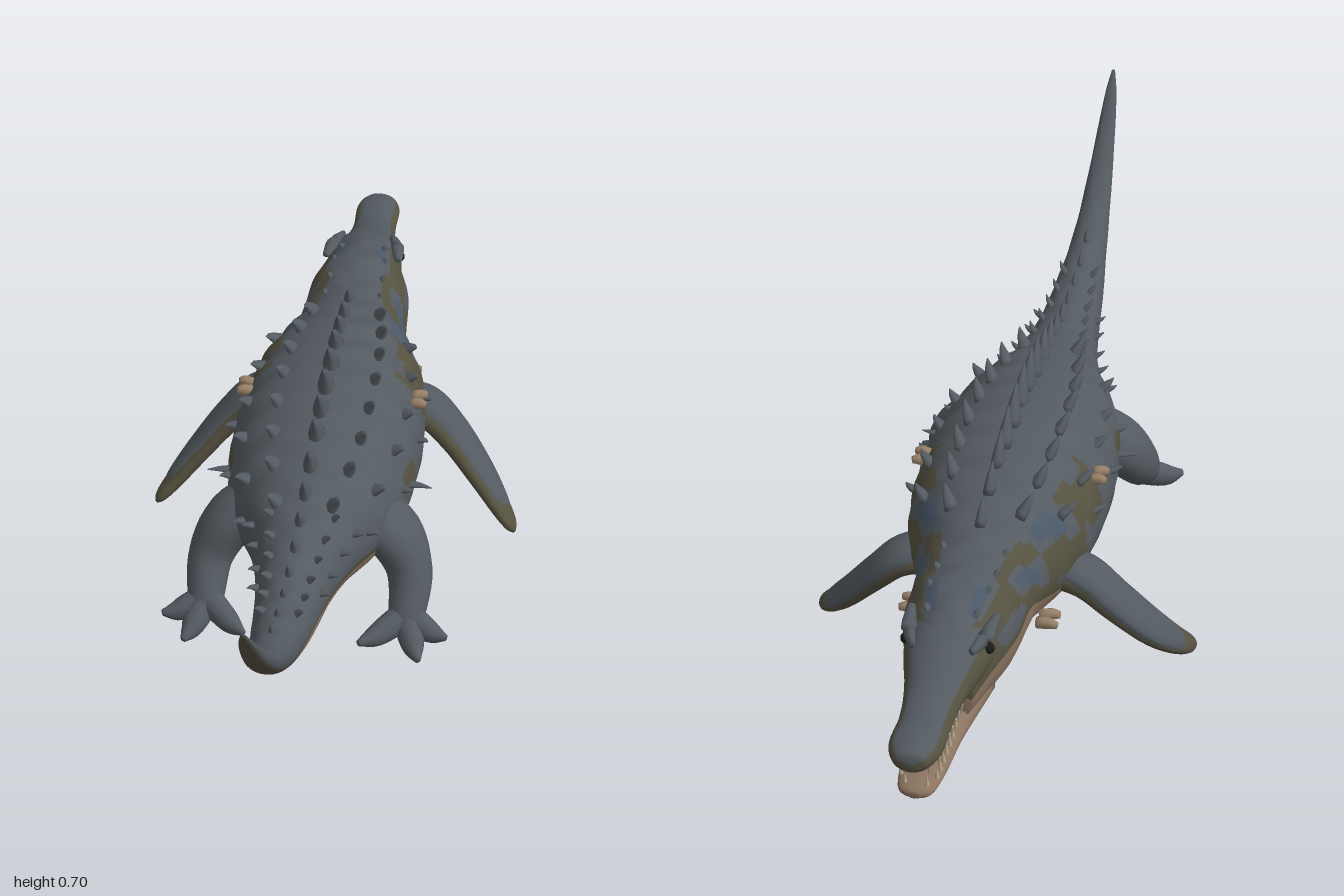
import * as THREE from 'three';

const mat = (name, color) => Object.assign(new THREE.MeshStandardMaterial({ color }), { name });
const slate = mat('slate hide', 0x535a60), olive = mat('olive hide', 0x555140), tan = mat('tan belly', 0x8a7360);
const blue = mat('blue patches', 0x4a5766), horn = mat('pale horn', 0x9a8168), tooth = mat('tooth ivory', 0xb5a68c);
const dark = mat('dark eye', 0x1c1a18);
const V = (x, y, z) => new THREE.Vector3(x, y, z);

// Skin a list of closed rings; pick(i, j) chooses the material slot of each quad
function skin(name, rings, materials, pick = () => 0) {
  const n = rings[0].length, pos = [], index = [], buckets = materials.map(() => []);
  const middle = r => r.reduce((s, p) => s.add(p), V(0, 0, 0)).divideScalar(n);
  rings.forEach(r => r.forEach(p => pos.push(p.x, p.y, p.z)));
  for (let i = 0; i < rings.length - 1; i++) for (let j = 0; j < n; j++) {
    const k = (j + 1) % n, a = i * n + j, b = i * n + k, c = a + n, d = b + n;
    buckets[pick(i, j)].push(a, b, c, b, d, c);
  }
  [rings[0], rings[rings.length - 1]].forEach((r, e) => {
    const m = middle(r), at = pos.length / 3, row = e ? (rings.length - 1) * n : 0;
    pos.push(m.x, m.y, m.z);
    for (let j = 0; j < n; j++) {
      const a = row + j, b = row + (j + 1) % n;
      buckets[pick(e ? rings.length - 2 : 0, j)].push(...(e ? [a, b, at] : [b, a, at]));
    }
  });
  const g = new THREE.BufferGeometry();
  buckets.forEach((b, m) => { g.addGroup(index.length, b.length, m); for (const v of b) index.push(v); });
  g.setAttribute('position', new THREE.Float32BufferAttribute(pos, 3));
  g.setIndex(index);
  g.computeVertexNormals();
  const mesh = new THREE.Mesh(g, materials);
  mesh.name = name;
  return mesh;
}

// Limb along a path; rows are [x, y, z, half width along z, half thickness]
function limb(name, rows, material, steps = 14, sides = 14) {
  const path = new THREE.CatmullRomCurve3(rows.map(r => V(r[0], r[1], r[2])), false, 'catmullrom');
  const size = new THREE.CatmullRomCurve3(rows.map(r => V(r[3], r[4], 0)), false, 'catmullrom');
  const rings = [];
  for (let i = 0; i <= steps; i++) {
    const c = path.getPoint(i / steps), s = size.getPoint(i / steps), t = path.getTangent(i / steps);
    const ref = Math.abs(t.z) > 0.95 ? V(0, 1, 0) : V(0, 0, 1);
    const a = ref.addScaledVector(t, -ref.dot(t)).normalize(), b = t.clone().cross(a);
    rings.push(Array.from({ length: sides }, (_, j) => {
      const q = j / sides * Math.PI * 2;
      return c.clone().addScaledVector(a, Math.max(s.x, 0.001) * Math.cos(q)).addScaledVector(b, Math.max(s.y, 0.001) * Math.sin(q));
    }));
  }
  return skin(name, rings, [material]);
}

// Trunk sections; rows are [z, half width, top, bottom, height where back meets belly]
function sections(rows, steps) {
  const a = new THREE.CatmullRomCurve3(rows.map(r => V(r[1], r[2], r[0])), false, 'catmullrom');
  const b = new THREE.CatmullRomCurve3(rows.map(r => V(r[3], r[4], r[0])), false, 'catmullrom');
  return Array.from({ length: steps + 1 }, (_, i) => {
    const p = a.getPoint(i / steps), q = b.getPoint(i / steps);
    return { z: p.z, w: Math.max(p.x, 0.002), cy: (p.y + q.x) / 2, h: Math.max((p.y - q.x) / 2, 0.002), split: q.y };
  });
}
const UP = 28, LOW = 18;
function trunk(name, secs, bump, materials, pick) {
  const rings = secs.map(s => {
    const e = Math.asin(THREE.MathUtils.clamp((s.split - s.cy) / s.h, -0.9, 0.9));
    return Array.from({ length: UP + LOW }, (_, j) => {
      const back = j < UP;
      const q = back ? e + (Math.PI - 2 * e) * j / UP : Math.PI - e + (Math.PI + 2 * e) * (j - UP) / LOW;
      const k = back ? 1 + bump * Math.sin(s.z * 62 + Math.sin(q * 7)) * Math.sin(Math.PI * j / UP) : 1;
      return V(s.w * k * Math.cos(q), s.cy + s.h * k * Math.sin(q), s.z);
    });
  });
  return skin(name, rings, materials, (i, j) => pick(secs[i].z, j));
}

const bodyRows = [
  [-0.77, 0.06, 0.345, 0.195, 0.27], [-0.7, 0.08, 0.385, 0.18, 0.28], [-0.6, 0.108, 0.405, 0.17, 0.29],
  [-0.5, 0.115, 0.4, 0.165, 0.29], [-0.43, 0.125, 0.41, 0.16, 0.26], [-0.3, 0.17, 0.44, 0.13, 0.22],
  [-0.2, 0.188, 0.452, 0.115, 0.21], [-0.05, 0.195, 0.455, 0.112, 0.22], [0.1, 0.18, 0.44, 0.125, 0.23],
  [0.2, 0.15, 0.425, 0.155, 0.25], [0.3, 0.105, 0.405, 0.19, 0.265], [0.4, 0.078, 0.395, 0.222, 0.29],
  [0.5, 0.064, 0.395, 0.25, 0.32], [0.6, 0.054, 0.41, 0.29, 0.345], [0.7, 0.042, 0.44, 0.345, 0.37],
  [0.8, 0.032, 0.495, 0.43, 0.44], [0.9, 0.022, 0.587, 0.542, 0.55], [0.97, 0.013, 0.665, 0.638, 0.645], [1, 0.004, 0.7, 0.69, 0.692]];
const skullRows = [
  [-1, 0.012, 0.298, 0.278, 0.285], [-0.99, 0.034, 0.314, 0.272, 0.28], [-0.95, 0.049, 0.322, 0.268, 0.28],
  [-0.88, 0.048, 0.32, 0.266, 0.28], [-0.8, 0.057, 0.345, 0.262, 0.275], [-0.72, 0.078, 0.378, 0.25, 0.27], [-0.62, 0.09, 0.39, 0.24, 0.27]];
const jawRows = [
  [-0.975, 0.012, 0.212, 0.198, 0.206], [-0.96, 0.032, 0.218, 0.193, 0.21], [-0.9, 0.043, 0.222, 0.191, 0.212],
  [-0.82, 0.05, 0.232, 0.19, 0.222], [-0.75, 0.064, 0.258, 0.186, 0.235], [-0.66, 0.08, 0.27, 0.18, 0.25]];

export function createModel() {
  const model = new THREE.Group();
  const hides = [slate, olive, tan, blue];

  // Body and tail, with an olive edge and blotches on the flanks
  const body = sections(bodyRows, 150);
  model.add(trunk('bodyAndTail', body, 0.022, hides, (z, j) => {
    if (j >= UP) return z > 0.73 ? 1 : 2;
    const side = Math.min(j, UP - 1 - j), patch = Math.sin(z * 31 + side * 0.9) + Math.sin(z * 17 - side * 0.7);
    if (z < -0.15 && side < 9 && patch < 0.1 && side > 0) return 1;
    if (z < -0.3 && side > 2 && side < 11 && patch > 1.1) return 3;
    return side < 1 || (z > -0.2 && z < 0.1 && side < 5 && patch < -1) ? 1 : 0;
  }));

  // Jaws
  model.add(trunk('upperJaw', sections(skullRows, 36), 0.012, hides,
    (z, j) => (j >= UP || Math.min(j, UP - 1 - j) < 8 ? 1 : 0)));
  model.add(trunk('lowerJaw', sections(jawRows, 30), 0, hides, () => 2));

  // Hooked spike standing on the body surface, leaning towards the tail
  const spike = (name, z, angle, height, width, material = slate, lean = 0.6) => {
    const s = body.reduce((m, c) => (Math.abs(c.z - z) < Math.abs(m.z - z) ? c : m));
    const q = angle * Math.PI / 180, out = V(Math.cos(q) / s.w, Math.sin(q) / s.h, 0).normalize();
    const row = (d, back, w) => {
      const p = V(s.w * Math.cos(q), s.cy + s.h * Math.sin(q), s.z + back).addScaledVector(out, d);
      return [p.x, p.y, p.z, w, w * 0.6];
    };
    model.add(limb(name, [row(-0.012, -width * 0.3, width), row(height * 0.45, height * lean * 0.25, width * 0.6),
      row(height, height * lean, width * 0.06)], material, 5, 8));
  };

  // Crest along the spine
  for (let z = -0.4; z < 0.75; z += 0.073) {
    const big = Math.exp(-Math.pow((z + 0.02) / 0.38, 2));
    spike('spineCrest', z, 90, 0.018 + 0.048 * big, 0.014 + 0.019 * big);
  }
  // Paired rows of scutes: angle, first z, last z, spacing, height, width
  const rows = [[62, -0.36, 0.28, 0.09, 0.034, 0.024], [36, -0.3, 0.3, 0.12, 0.026, 0.02], [14, -0.2, 0.25, 0.15, 0.02, 0.014],
    [55, 0.3, 0.66, 0.06, 0.022, 0.013], [25, 0.28, 0.48, 0.065, 0.02, 0.012], [60, -0.66, -0.4, 0.065, 0.008, 0.013]];
  for (const [angle, from, to, gap, h, w] of rows) {
    for (let z = from; z < to; z += gap) for (const a of [angle, 180 - angle]) spike('scute', z, a, h, w);
  }

  for (const s of [1, -1]) {
    const side = s > 0 ? 'left' : 'right';
    // Front flipper
    model.add(limb(side + 'Flipper', [[0.11 * s, 0.245, -0.29, 0.055, 0.035], [0.18 * s, 0.23, -0.295, 0.058, 0.032],
      [0.24 * s, 0.175, -0.285, 0.058, 0.028], [0.3 * s, 0.105, -0.255, 0.052, 0.023],
      [0.35 * s, 0.047, -0.215, 0.036, 0.018], [0.378 * s, 0.018, -0.185, 0.02, 0.012], [0.387 * s, 0.006, -0.177, 0.003, 0.003]], olive, 24, 18));
    // Slate upper face of the flipper
    model.add(limb(side + 'FlipperTop', [[0.12 * s, 0.256, -0.293, 0.045, 0.03], [0.186 * s, 0.237, -0.298, 0.054, 0.03],
      [0.245 * s, 0.179, -0.288, 0.054, 0.026], [0.304 * s, 0.109, -0.258, 0.048, 0.021],
      [0.353 * s, 0.05, -0.218, 0.03, 0.016], [0.372 * s, 0.029, -0.198, 0.004, 0.004]], slate, 24, 18));
    // Hind leg and webbed toes
    model.add(limb(side + 'HindLeg', [[0.1 * s, 0.29, 0.14, 0.075, 0.06], [0.165 * s, 0.25, 0.16, 0.07, 0.055],
      [0.2 * s, 0.19, 0.195, 0.052, 0.046], [0.203 * s, 0.135, 0.25, 0.034, 0.038], [0.2 * s, 0.105, 0.285, 0.018, 0.03]], slate, 20, 18));
    for (const [x, y, z] of [[0.285, 0.107, 0.295], [0.235, 0.085, 0.345], [0.115, 0.108, 0.335]]) {
      const m = V(0.2, 0.125, 0.255).lerp(V(x, y, z), 0.6);
      model.add(limb(side + 'Toe', [[0.2 * s, 0.125, 0.255, 0.028, 0.03], [m.x * s, m.y - 0.008, m.z, 0.022, 0.024],
        [x * s, y, z, 0.006, 0.007]], slate, 8, 12));
    }
    // Pale barnacle horns and thin flank spines
    for (const [x, y, z, l] of [[0.115, 0.215, -0.43, 0.04], [0.165, 0.362, -0.14, 0.03]]) {
      for (const d of [-0.012, 0.012]) model.add(limb(side + 'Horn',
        [[x * s, y, z + d, 0.012, 0.012], [(x + l * 0.6) * s, y + 0.004, z + d * 1.3, 0.011, 0.011], [(x + l) * s, y + 0.002, z + d * 1.5, 0.007, 0.007]], horn, 4, 8));
    }
    model.add(limb(side + 'FlankSpine', [[0.17 * s, 0.293, 0.05, 0.013, 0.006], [0.2 * s, 0.295, 0.054, 0.009, 0.004], [0.228 * s, 0.295, 0.06, 0.001, 0.001]], slate, 5, 8));
    // Eye under a heavy brow
    const eye = new THREE.Mesh(new THREE.SphereGeometry(0.011, 14, 10), dark);
    eye.name = side + 'Eye';
    eye.position.set(0.077 * s, 0.338, -0.7);
    model.add(eye);
    model.add(limb(side + 'Brow', [[0.055 * s, 0.358, -0.745, 0.006, 0.008], [0.071 * s, 0.362, -0.7, 0.012, 0.015], [0.08 * s, 0.368, -0.64, 0.006, 0.008]], slate, 8, 10));
    // Teeth along both jaws
    for (let i = 0; i < 9; i++) {
      const z = -0.965 + i * 0.022, w = i === 0 ? 0.026 : 0.038 + i * 0.0008;
      for (const up of [1, -1]) {
        const cone = new THREE.Mesh(new THREE.ConeGeometry(0.0045, 0.024, 7), tooth);
        cone.name = up > 0 ? 'lowerTooth' : 'upperTooth';
        cone.position.set((up > 0 ? w - 0.006 : w) * s, up > 0 ? 0.226 + i * 0.0012 : 0.261, z + (up > 0 ? 0.011 : 0));
        if (up < 0) cone.rotation.x = Math.PI;
        model.add(cone);
      }
    }
  }
  return model;
}
